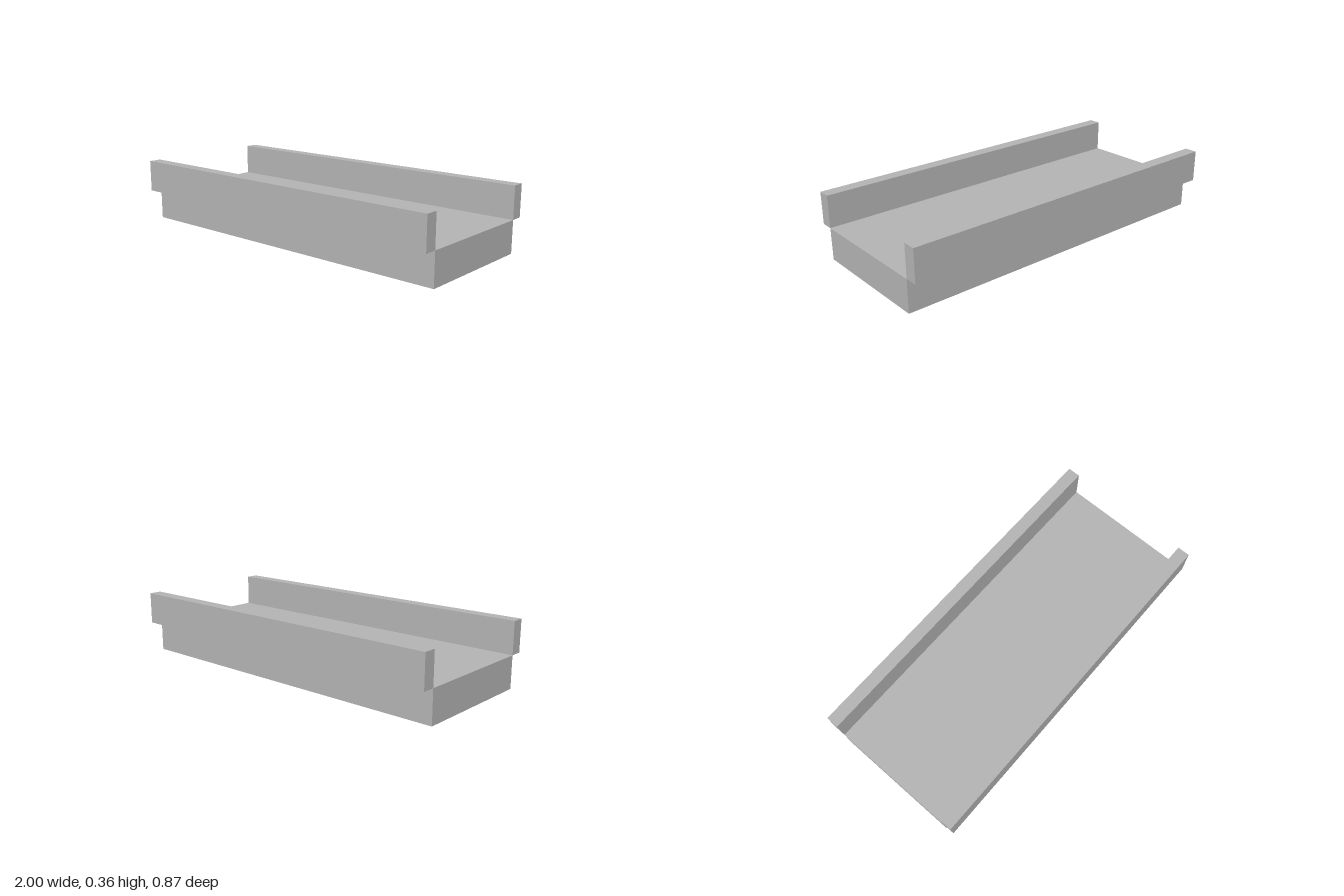
import * as THREE from 'three';

const LENGTH = 2;
const BASE_HEIGHT = 0.182;
const BASE_DEPTH = 0.728;
const RAIL_HEIGHT = 0.182;
const RAIL_DEPTH = 0.072;

export function createModel() {
  const group = new THREE.Group();
  group.name = 'railedBlock';

  const grey = new THREE.MeshStandardMaterial({ color: 0xb3b3b3 });
  grey.name = 'plain grey';

  const addBox = (name, height, depth, y, z) => {
    const mesh = new THREE.Mesh(new THREE.BoxGeometry(LENGTH, height, depth), grey);
    mesh.name = name;
    mesh.position.set(0, y, z);
    group.add(mesh);
  };

  // Solid base slab
  addBox('base', BASE_HEIGHT, BASE_DEPTH, BASE_HEIGHT / 2, 0);

  // Long rails just outside the upper edges of the base
  for (const [name, side] of [['frontRail', 1], ['backRail', -1]]) {
    addBox(name, RAIL_HEIGHT, RAIL_DEPTH,
      BASE_HEIGHT + RAIL_HEIGHT / 2, side * (BASE_DEPTH + RAIL_DEPTH) / 2);
  }

  return group;
}
